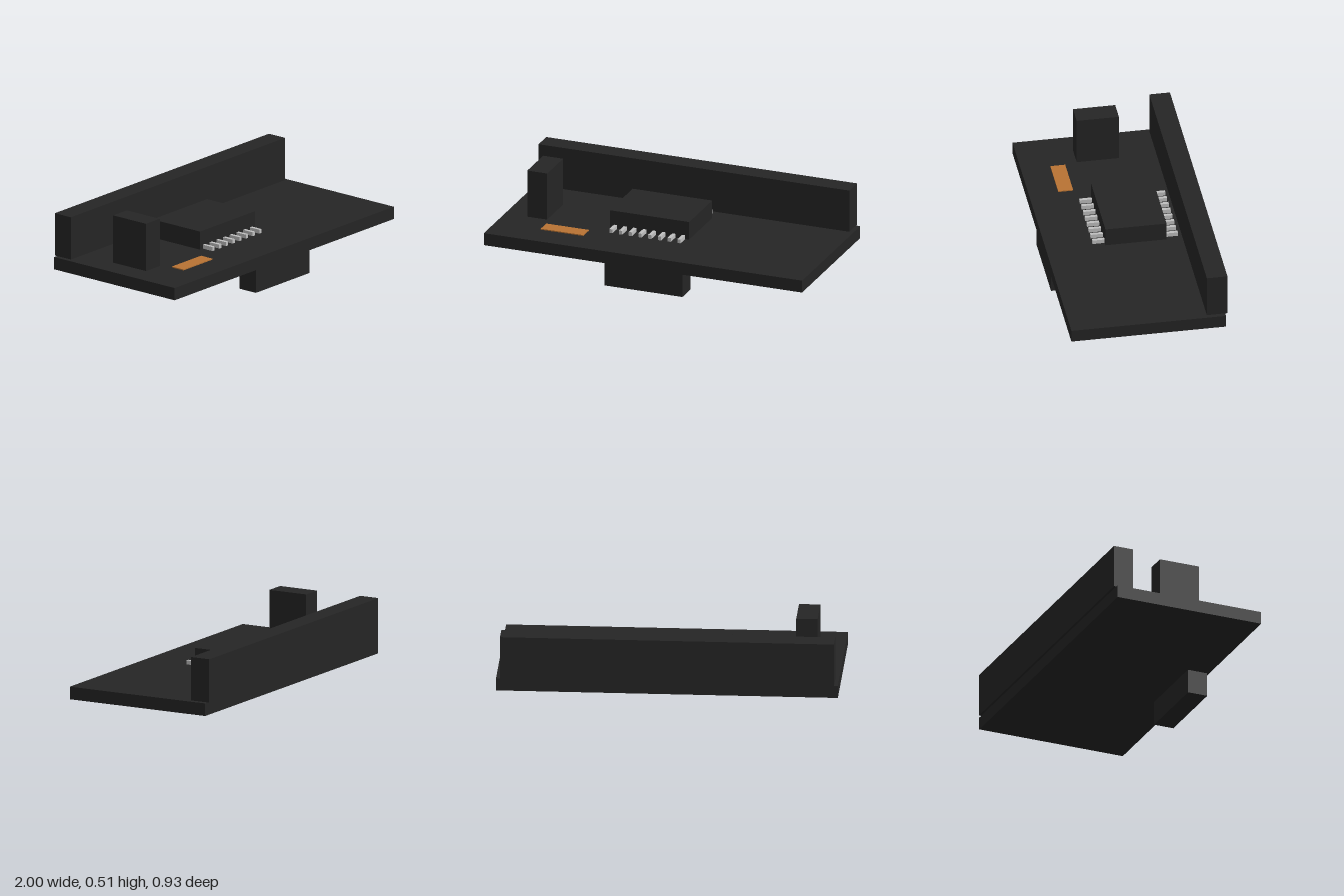
import * as THREE from 'three';

export function createModel() {
  const model = new THREE.Group();
  model.name = 'circuitBoard';

  const material = (name, color) => {
    const m = new THREE.MeshStandardMaterial({ color });
    m.name = name;
    return m;
  };
  const black = material('black', 0x252525);
  const silver = material('silver', 0xc0c0c0);
  const copper = material('copper', 0xb87333);

  // Box given by its lower and upper limits on each axis
  const box = (name, mat, [x0, x1], [y0, y1], [z0, z1], parent = model) => {
    const mesh = new THREE.Mesh(new THREE.BoxGeometry(x1 - x0, y1 - y0, z1 - z0), mat);
    mesh.position.set((x0 + x1) / 2, (y0 + y1) / 2, (z0 + z1) / 2);
    mesh.name = name;
    parent.add(mesh);
    return mesh;
  };

  const top = 0.22;

  // Board with its connectors above and below
  box('board', black, [-1, 1], [0.145, top], [-0.451, 0.465]);
  box('pinHeader', black, [-0.978, 0.976], [0.222, 0.481], [-0.464, -0.342]);
  box('bottomConnector', black, [-0.246, 0.244], [0, 0.145], [0.331, 0.454]);

  // Components on the upper face
  box('chipBody', black, [-0.348, 0.151], [top, 0.331], [-0.247, 0.115]);
  box('uprightComponent', black, [-0.86, -0.735], [top, 0.51], [-0.119, 0.131]);
  box('copperPad', copper, [-0.712, -0.445], [top, 0.226], [0.203, 0.291]);

  // Eight legs along the front and back of the chip
  const legs = new THREE.Group();
  legs.name = 'chipLegs';
  model.add(legs);
  for (let i = 0; i < 8; i++) {
    const x = -0.312 + i * 0.0611;
    const span = [x - 0.01, x + 0.01];
    box('frontLeg', silver, span, [top, 0.244], [0.115, 0.188], legs);
    box('backLeg', silver, span, [top, 0.244], [-0.319, -0.247], legs);
  }

  return model;
}
